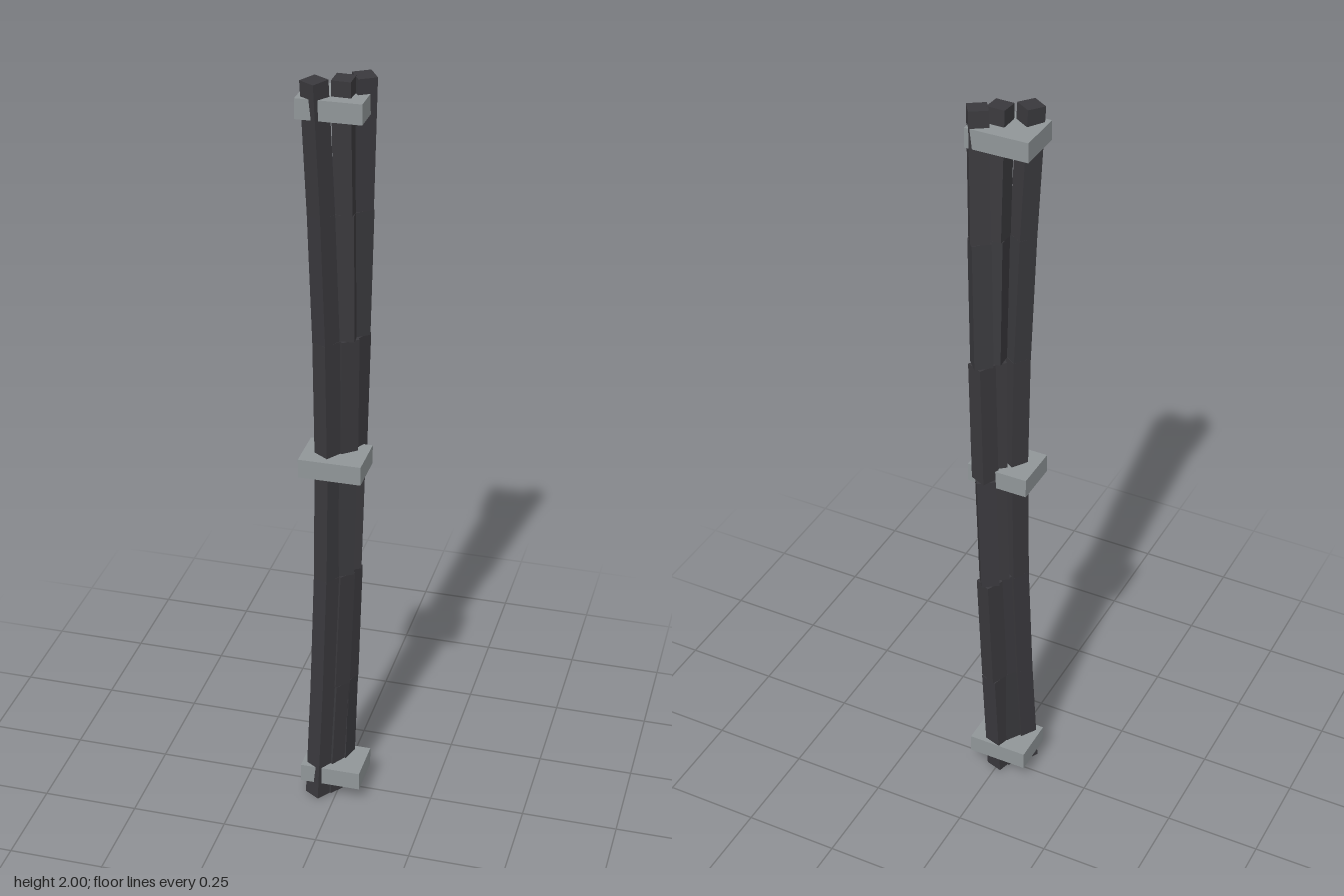
import * as THREE from 'three';

export function createModel() {
  const group = new THREE.Group();
  const rubber = new THREE.MeshStandardMaterial({ color: 0x3a393d });
  rubber.name = 'dark rubber';
  const metal = new THREE.MeshStandardMaterial({ color: 0x909698 });
  metal.name = 'grey metal';

  // Cables: [x, z] at the bottom and top, plus a sideways bow at mid height
  const SEGMENTS = 6;
  const SIDE = 0.047;
  const cables = [
    { name: 'leftmostCable', bottom: [-0.048, 0.052], top: [-0.049, 0.052], bow: [0.021, -0.033] },
    { name: 'middleCable', bottom: [-0.02, 0.02], top: [0.0125, 0.019], bow: [0.012, -0.035] },
    { name: 'rearCable', bottom: [0.0, -0.012], top: [0.053, -0.014], bow: [-0.006, -0.037] },
  ];

  for (const { name, bottom, top, bow } of cables) {
    const cable = new THREE.Group();
    cable.name = name;
    const pointAt = (t) => {
      const [x, z] = [0, 1].map((i) =>
        THREE.MathUtils.lerp(bottom[i], top[i], t) + bow[i] * Math.sin(Math.PI * t));
      return new THREE.Vector3(x, 2 * t, z);
    };
    // Straight square bars, each turned along its own piece of the path
    for (let i = 0; i < SEGMENTS; i++) {
      const a = pointAt(i / SEGMENTS);
      const b = pointAt((i + 1) / SEGMENTS);
      const bar = new THREE.Mesh(new THREE.BoxGeometry(SIDE, SIDE, a.distanceTo(b)), rubber);
      bar.name = 'cableSegment';
      bar.position.copy(a).lerp(b, 0.5);
      bar.lookAt(b);
      cable.add(bar);
    }
    group.add(cable);
  }

  // Clamps at the bottom, middle and top
  for (const y of [0.07, 1.0, 1.935]) {
    const clamp = new THREE.Mesh(new THREE.BoxGeometry(0.16, 0.05, 0.12), metal);
    clamp.name = 'clamp';
    clamp.position.set(-0.01, y, 0.0125);
    group.add(clamp);
  }
  return group;
}
